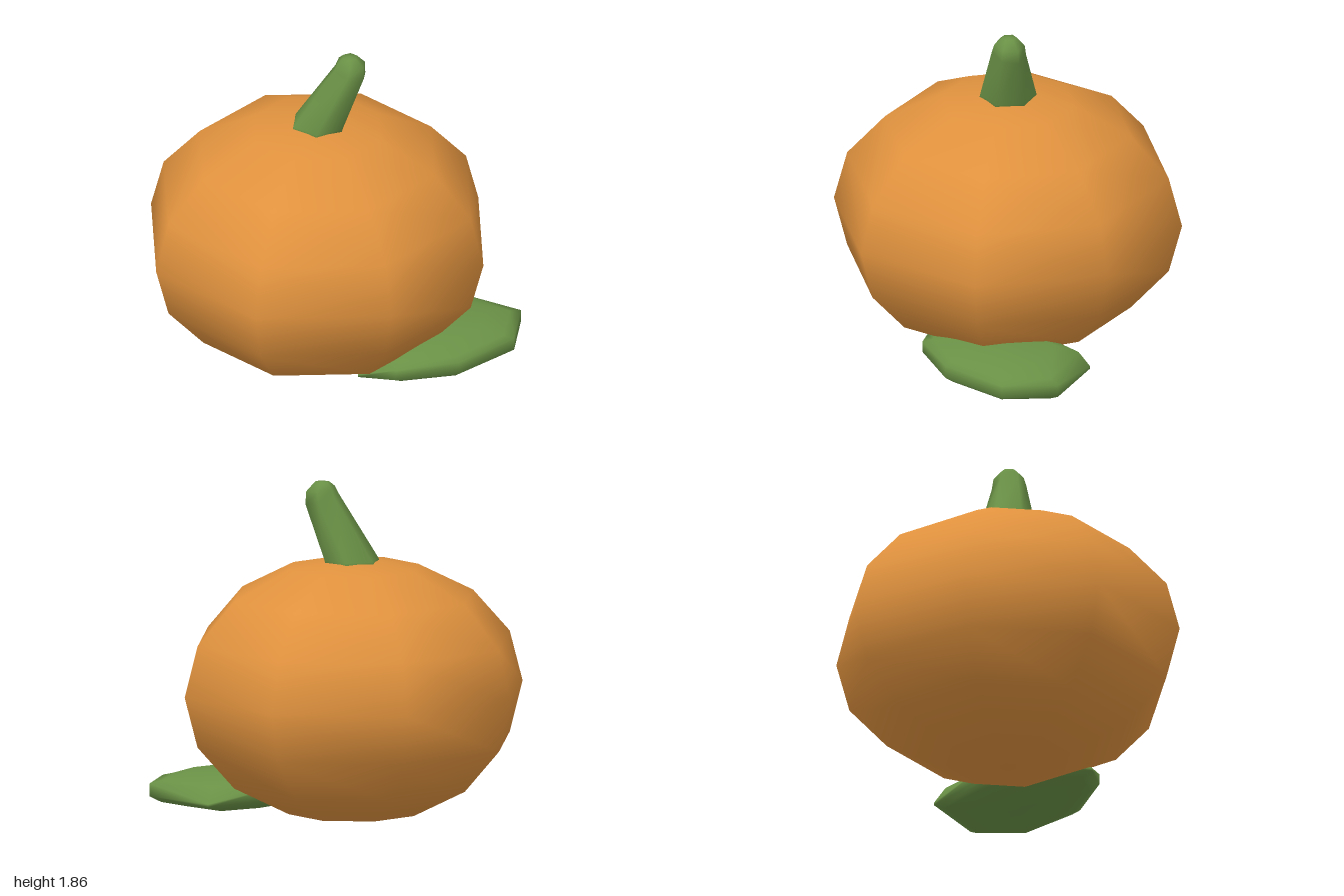
import * as THREE from 'three';

// Closed smooth surface through rings of [x, y, z] points, listed bottom to top
function loft(rings, bottom, top) {
  const n = rings[0].length;
  const pos = [...rings.flat(2), ...bottom, ...top];
  const b = rings.length * n, t = b + 1, last = b - n;
  const index = [];
  for (let i = 0; i < n; i++) {
    const j = (i + 1) % n;
    index.push(b, i, j, t, last + j, last + i);
    for (let r = 0; r < rings.length - 1; r++) {
      const p = r * n, q = p + n;
      index.push(p + i, q + i, p + j, q + i, q + j, p + j);
    }
  }
  const g = new THREE.BufferGeometry();
  g.setAttribute('position', new THREE.Float32BufferAttribute(pos, 3));
  g.setIndex(index);
  g.computeVertexNormals();
  return g;
}

export function createModel() {
  const group = new THREE.Group();
  const orange = new THREE.MeshStandardMaterial({ name: 'orange', color: 0xe0923e });
  const green = new THREE.MeshStandardMaterial({ name: 'green', color: 0x6a9146 });
  const add = (name, geometry, material) => {
    const mesh = new THREE.Mesh(geometry, material);
    mesh.name = name;
    group.add(mesh);
    return mesh;
  };

  // Squat eight-sided fruit
  const fruit = add('fruit', new THREE.SphereGeometry(0.96, 8, 8), orange);
  fruit.scale.y = 0.755;
  fruit.position.set(-0.04, 0.727, 0);

  // Leaning, tapering six-sided stem with a rounded tip: x, y, z, radius, tilt
  const stemRings = [
    [-0.045, 1.38, -0.005, 0.162, 0],
    [-0.03, 1.44, 0.006, 0.153, 0],
    [0.11, 1.765, 0.095, 0.093, 0.3],
    [0.118, 1.82, 0.097, 0.082, 0.15],
    [0.11, 1.858, 0.095, 0.042, 0],
  ].map(([x, y, z, r, tilt]) => Array.from({ length: 6 }, (_, i) => {
    const a = i * Math.PI / 3;
    const dx = r * Math.cos(a), dz = r * Math.sin(a);
    return [x + dx, y - tilt * dx, z + dz];
  }));
  add('stem', loft(stemRings, [-0.045, 1.38, -0.005], [0.11, 1.862, 0.095]), green);

  // Thick leaf under one side: outline x, z, and rim heights below and above
  const outline = [
    [1, 0.38, 0.13, 0.2], [0.84, 0.64, 0.13, 0.2], [0.46, 0.75, 0.13, 0.2], [0.12, 0.67, 0.13, 0.19],
    [-0.04, 0.53, 0.115, 0.13], [0.08, 0.25, 0.13, 0.19], [0.4, 0.08, 0.13, 0.19], [0.78, 0.02, 0.115, 0.13],
  ];
  const cx = 0.48, cz = 0.39;
  const leafRing = (s, y) => outline.map(([x, z, lo, hi]) =>
    [cx + (x - cx) * s, y ?? 0, cz + (z - cz) * s].map((v, k) => (k === 1 ? y ?? 0 : v)));
  const rim = (k) => outline.map((p) => [p[0], p[k], p[1]]);
  const leafRings = [
    leafRing(0.6, 0.065), leafRing(0.87, 0.095), rim(2), rim(3), leafRing(0.87, 0.213), leafRing(0.6, 0.25),
  ];
  add('leaf', loft(leafRings, [cx, 0.047, cz], [cx, 0.268, cz]), green);

  return group;
}
